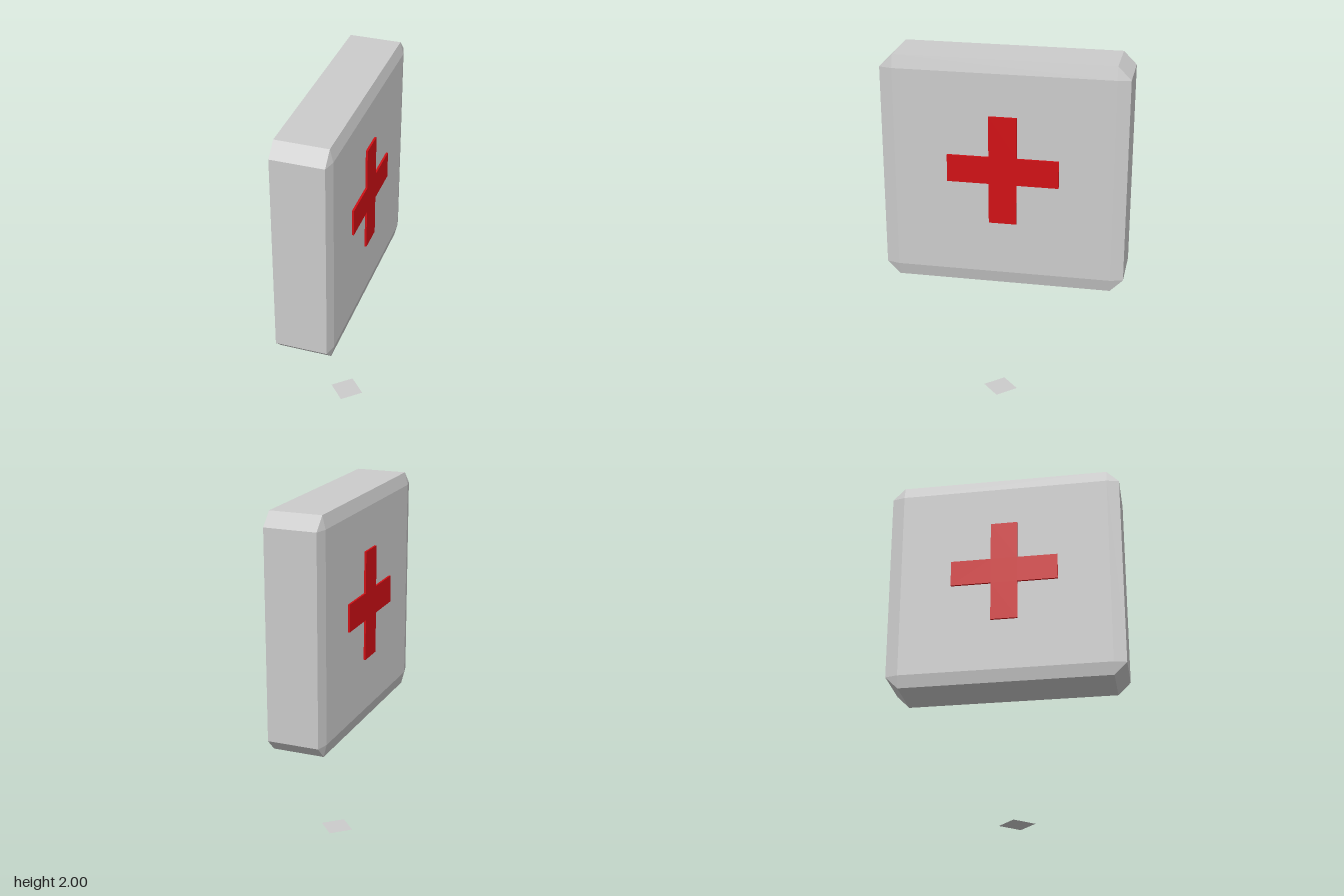
import * as THREE from 'three';
import { ConvexGeometry } from 'three/addons/geometries/ConvexGeometry.js';

const grey = new THREE.MeshStandardMaterial({ color: 0xcccccc, flatShading: true });
const red = new THREE.MeshStandardMaterial({ color: 0xd01015 });

// Box with every edge and corner cut: half sizes (x, y, z) and cut sizes (cx, cy, cz)
function chamferedBox([x, y, z], [cx, cy, cz]) {
  const points = [];
  for (const i of [-1, 1]) for (const j of [-1, 1]) for (const k of [-1, 1]) {
    points.push(
      new THREE.Vector3(i * x, j * (y - cy), k * (z - cz)),
      new THREE.Vector3(i * (x - cx), j * y, k * (z - cz)),
      new THREE.Vector3(i * (x - cx), j * (y - cy), k * z),
    );
  }
  return new ConvexGeometry(points);
}

// Plus-shaped plate, arm = half length, w = half width
function crossPlate(arm, w, depth) {
  const shape = new THREE.Shape([
    [w, arm], [-w, arm], [-w, w], [-arm, w], [-arm, -w], [-w, -w],
    [-w, -arm], [w, -arm], [w, -w], [arm, -w], [arm, w], [w, w],
  ].map(([x, y]) => new THREE.Vector2(x, y)));
  return new THREE.ExtrudeGeometry(shape, { depth, bevelEnabled: false });
}

export function createModel() {
  const model = new THREE.Group();

  // Floating case, turned about the vertical axis
  const kit = new THREE.Group();
  kit.name = 'medicalKit';
  kit.position.y = 1.3675;
  kit.rotation.y = THREE.MathUtils.degToRad(47.6);
  model.add(kit);

  const body = new THREE.Mesh(chamferedBox([0.657, 0.6325, 0.158], [0.07, 0.07, 0.017]), grey);
  body.name = 'caseBody';
  kit.add(body);

  // Raised cross on each broad face
  const crossGeometry = crossPlate(0.3, 0.075, 0.04);
  ['frontCross', 'backCross'].forEach((name, i) => {
    const cross = new THREE.Mesh(crossGeometry, red);
    cross.name = name;
    cross.rotation.y = i * Math.PI;
    cross.position.set(0, 0.0325, i ? -0.129 : 0.129);
    kit.add(cross);
  });

  // Small flat marker on the ground below the case
  const marker = new THREE.Mesh(
    new THREE.PlaneGeometry(0.138, 0.138).rotateX(-Math.PI / 2),
    new THREE.MeshStandardMaterial({ color: 0xcccccc, side: THREE.DoubleSide }),
  );
  marker.name = 'groundMarker';
  marker.position.set(0.01, 0, 0.06);
  model.add(marker);

  return model;
}
